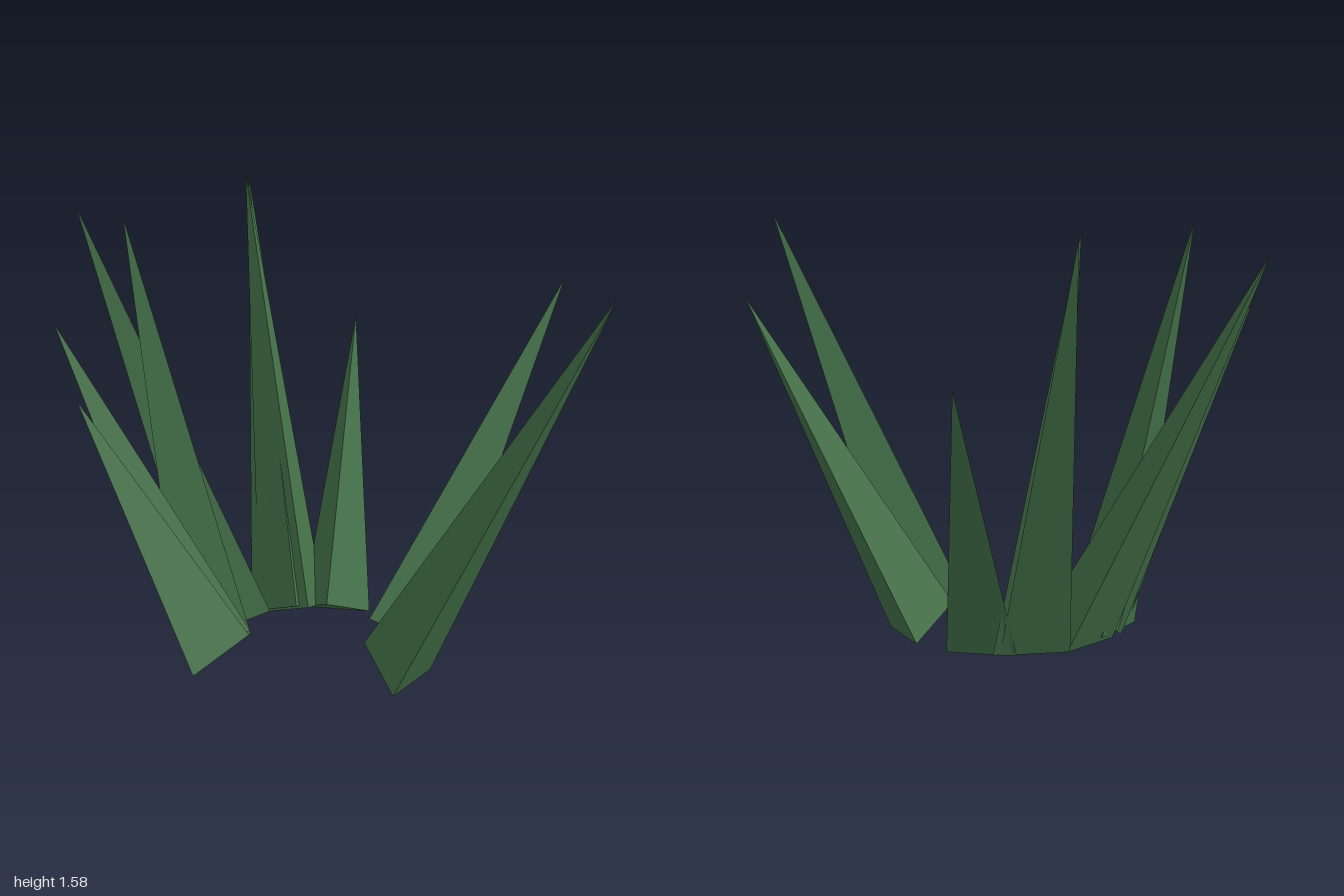
import * as THREE from 'three';

const RADIUS = 0.15;   // base radius of every blade
const BASE_Y = 0.037;  // height of each base centre

// base centre x, z, then tip x, y, z
const BLADES = [
  [0.29, 0.407, 1.0, 1.515, 0.75],
  [0.28, 0.067, 0.83, 1.3, -0.29],
  [0.005, -0.103, 0.033, 1.04, -0.625],
  [-0.127, -0.083, -0.4, 1.58, -0.68],
  [-0.16, -0.083, -0.4, 1.56, -0.75],
  [-0.31, 0.053, -1.0, 1.49, -0.4],
  [-0.388, 0.193, -0.72, 1.565, 0.057],
  [-0.39, 0.278, -0.92, 1.24, 0.308],
  [-0.383, 0.343, -0.82, 1.0, 0.428],
];

// Three-sided spike leaning outward, with one ridge facing the clump's middle
function makeBlade([bx, bz, tx, ty, tz], material) {
  const dx = tx - bx, dy = ty - BASE_Y, dz = tz - bz;
  const lean = Math.hypot(dx, dz);
  const height = Math.hypot(lean, dy);
  const geometry = new THREE.ConeGeometry(RADIUS, height, 3);
  geometry.translate(0, height / 2, 0);
  const blade = new THREE.Mesh(geometry, material);
  blade.position.set(bx, BASE_Y, bz);
  blade.rotation.set(-Math.atan2(lean, dy), Math.atan2(-dx, -dz), 0, 'YXZ');
  return blade;
}

export function createModel() {
  const group = new THREE.Group();
  group.name = 'grassClump';
  const green = new THREE.MeshStandardMaterial({ color: 0x45734a, flatShading: true });
  BLADES.forEach((spec, i) => {
    const blade = makeBlade(spec, green);
    blade.name = `grassBlade${i + 1}`;
    group.add(blade);
  });
  return group;
}
